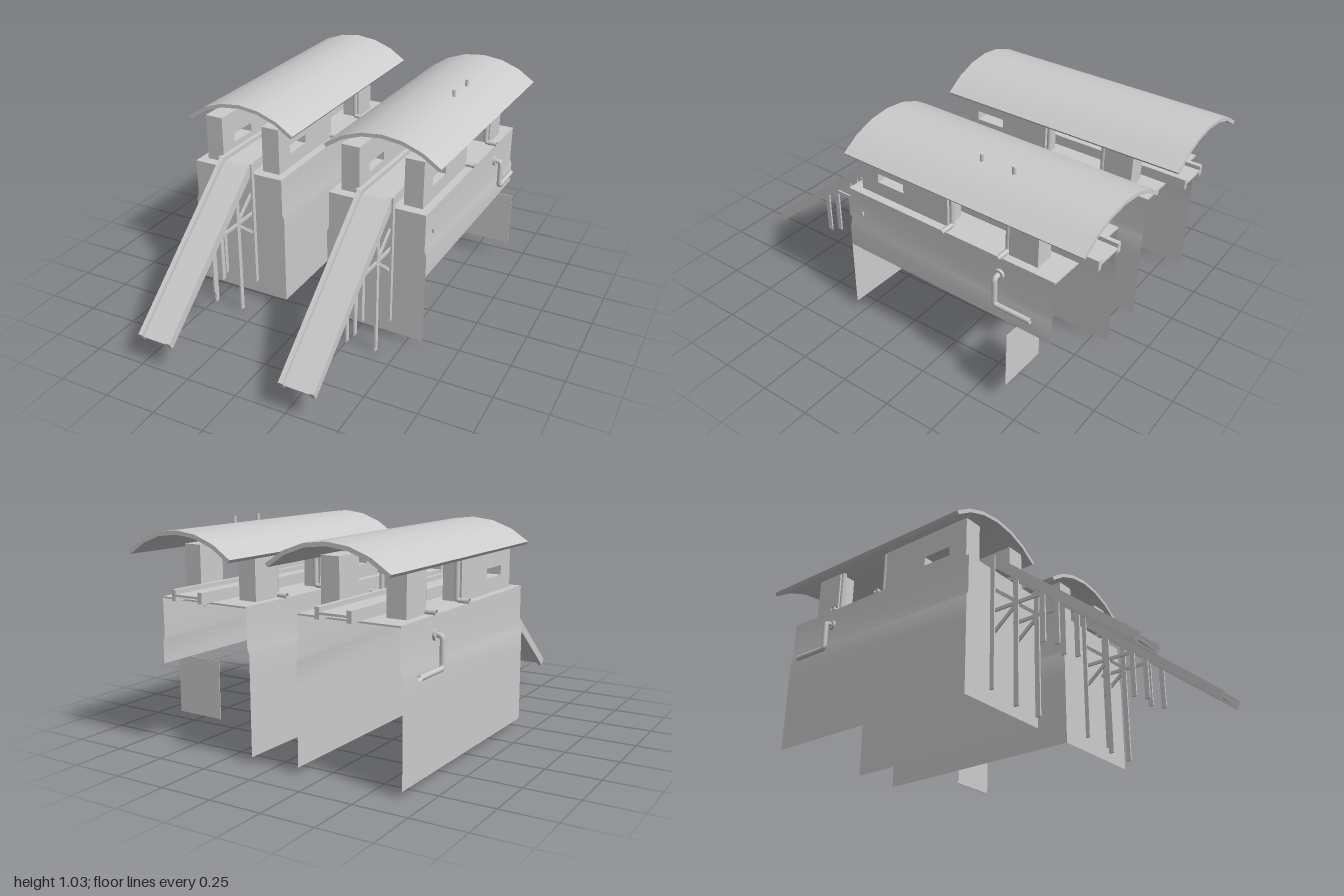
import * as THREE from 'three';
import { toCreasedNormals } from 'three/addons/utils/BufferGeometryUtils.js';

const grey = new THREE.MeshStandardMaterial({ color: 0xcccccc, side: THREE.DoubleSide });

function add(group, name, geometry, x = 0, y = 0, z = 0) {
  const mesh = new THREE.Mesh(geometry, grey);
  mesh.name = name;
  mesh.position.set(x, y, z);
  group.add(mesh);
  return mesh;
}

const shapeOf = (pts) => new THREE.Shape(pts.map(([a, b]) => new THREE.Vector2(a, b)));

// Side outline given as (z, y) points, thickened along x and centred on x = 0
function sideExtrude(pts, width, hole) {
  const shape = shapeOf(pts);
  if (hole) shape.holes.push(shapeOf(hole));
  const g = new THREE.ExtrudeGeometry(shape, { depth: width, bevelEnabled: false });
  g.rotateY(-Math.PI / 2);
  g.translate(width / 2, 0, 0);
  return g;
}

const rect = (z0, z1, y0, y1) => [[z0, y0], [z1, y0], [z1, y1], [z0, y1]];

// Thin wall swept along z from an (x, y) outline
function sweptWall(pts, z0, z1) {
  const pos = [], index = [];
  pts.forEach(([x, y], i) => {
    pos.push(x, y, z0, x, y, z1);
    if (i) {
      const a = 2 * i - 2;
      index.push(a, a + 1, a + 2, a + 1, a + 3, a + 2);
    }
  });
  const g = new THREE.BufferGeometry();
  g.setAttribute('position', new THREE.Float32BufferAttribute(pos, 3));
  g.setIndex(index);
  g.computeVertexNormals();
  return g;
}

// Pipe with short rounded elbows through the given points
function pipe(points, radius, bend) {
  const v = points.map((p) => new THREE.Vector3(...p));
  const path = new THREE.CurvePath();
  let from = v[0];
  for (let i = 1; i < v.length - 1; i++) {
    const a = v[i].clone().add(v[i - 1].clone().sub(v[i]).setLength(bend));
    const b = v[i].clone().add(v[i + 1].clone().sub(v[i]).setLength(bend));
    path.add(new THREE.LineCurve3(from, a));
    path.add(new THREE.QuadraticBezierCurve3(a, v[i], b));
    from = b;
  }
  path.add(new THREE.LineCurve3(from, v[v.length - 1]));
  return new THREE.TubeGeometry(path, 40, radius, 8, false);
}

// Flat strut between two (z, y) points
function strut(group, name, x, [z0, y0], [z1, y1], width) {
  const len = Math.hypot(z1 - z0, y1 - y0);
  const m = add(group, name, new THREE.BoxGeometry(0.008, width, len), x, (y0 + y1) / 2, (z0 + z1) / 2);
  m.rotation.x = -Math.atan2(y1 - y0, z1 - z0);
}

function buildBody(unit, openSide) {
  const outline = [[0.253, 0.03], [0.253, 0.38], [0.253, 0.485], [0.243, 0.51], [0.243, 0.69]];
  const mirrored = outline.map(([x, y]) => [-x, y]);
  add(unit, 'frontWall', new THREE.ShapeGeometry(shapeOf([...outline, ...mirrored.reverse()])), 0, 0, 0.28);
  for (const s of [-1, 1]) {
    const pts = (openSide && s > 0 ? outline.slice(1) : outline).map(([x, y]) => [s * x, y]);
    if (s > 0) pts.reverse();
    add(unit, 'sideWall', sweptWall(pts, -0.85, 0.28));
  }
  add(unit, 'deck', new THREE.BoxGeometry(0.486, 0.008, 1.13), 0, 0.687, -0.285);
}

function buildCabin(unit) {
  for (const s of [-1, 1]) {
    const x = s * 0.158;
    // Front wall block has a window, rear block is plain
    add(unit, 'cabinWall', sideExtrude(rect(-0.27, 0.23, 0.69, 0.92), 0.092, rect(-0.02, 0.13, 0.76, 0.805)), x);
    add(unit, 'rearCabinWall', sideExtrude(rect(-0.74, -0.595, 0.69, 0.92), 0.092), x);
    for (const z of [-0.285, -0.582]) {
      add(unit, 'drainPipe', pipe([[s * 0.19, 0.92, z], [s * 0.19, 0.7, z], [s * 0.25, 0.7, z]], 0.012, 0.015));
    }
  }
}

function buildRoof(unit) {
  // Shallow arch of six facets
  const R = 0.453, half = 0.69, n = 6, cy = 1.012 - R;
  const arc = (r) => Array.from({ length: n + 1 }, (_, i) => {
    const a = -half + (2 * half * i) / n;
    return [r * Math.sin(a), cy + r * Math.cos(a)];
  });
  const g = new THREE.ExtrudeGeometry(shapeOf([...arc(R), ...arc(R - 0.018).reverse()]), { depth: 1.24, bevelEnabled: false });
  add(unit, 'roof', toCreasedNormals(g, 0.6), 0, 0, -0.995);
}

function buildSlide(unit) {
  const rail = [[-0.95, 0.7], [0.285, 0.7], [0.98, 0.125], [1.0, 0.16], [0.3, 0.75], [-0.95, 0.75]];
  const bed = [[-0.95, 0.72], [0.285, 0.72], [0.985, 0.137], [0.99, 0.146], [0.29, 0.73], [-0.95, 0.73]];
  add(unit, 'slideBed', sideExtrude(bed, 0.15));
  for (const s of [-1, 1]) {
    add(unit, 'slideRail', sideExtrude(rail, 0.022), s * 0.075);
    const x = s * 0.076;
    strut(unit, 'slideLeg', x, [0.41, 0], [0.41, 0.64], 0.025);
    strut(unit, 'slideHanger', x, [0.62, 0.22], [0.62, 0.46], 0.025);
    strut(unit, 'slideHanger', x, [0.55, 0.25], [0.55, 0.52], 0.025);
    strut(unit, 'slideUpright', s * 0.09, [0.292, 0.1], [0.292, 0.75], 0.022);
    strut(unit, 'slideTie', x, [0.28, 0.48], [0.57, 0.48], 0.016);
    strut(unit, 'slideBrace', x, [0.29, 0.375], [0.42, 0.48], 0.016);
    strut(unit, 'slideBrace', x, [0.29, 0.585], [0.42, 0.48], 0.016);
  }
}

// Outside pipe on one side wall, with a wall flange
function buildWallPipe(unit, s) {
  add(unit, 'wallPipe', pipe([[s * 0.24, 0.61, -0.58], [s * 0.28, 0.61, -0.58], [s * 0.28, 0.473, -0.58], [s * 0.28, 0.473, -0.765]], 0.0125, 0.018));
  const flange = new THREE.CylinderGeometry(0.025, 0.025, 0.012, 16);
  flange.rotateZ(Math.PI / 2);
  add(unit, 'pipeFlange', flange, s * 0.25, 0.61, -0.58);
}

function buildUnit(name, x, z, turn, openSide) {
  const unit = new THREE.Group();
  unit.name = name;
  unit.position.set(x, 0, z);
  unit.rotation.y = turn;
  buildBody(unit, openSide);
  buildCabin(unit);
  buildRoof(unit);
  buildSlide(unit);
  buildWallPipe(unit, openSide ? 1 : -1);
  return unit;
}

export function createModel() {
  const model = new THREE.Group();
  model.name = 'twinSlideTowers';
  const right = buildUnit('rightTower', -0.403, 0, -0.017, false);
  const left = buildUnit('leftTower', 0.339, 0.012, -0.029, true);
  // Extras of the left tower: roof rods, wall knob and the open hatch below
  for (const z of [-0.365, -0.53]) {
    add(left, 'roofRod', new THREE.CylinderGeometry(0.009, 0.009, 0.07, 8), 0.088, 1.0, z);
  }
  add(left, 'wallKnob', new THREE.BoxGeometry(0.012, 0.02, 0.008), 0.246, 0.58, 0.2);
  add(left, 'hatchPanel', new THREE.BoxGeometry(0.25, 0.28, 0.003), 0.202, 0.24, -0.68);
  model.add(right, left);
  return model;
}
